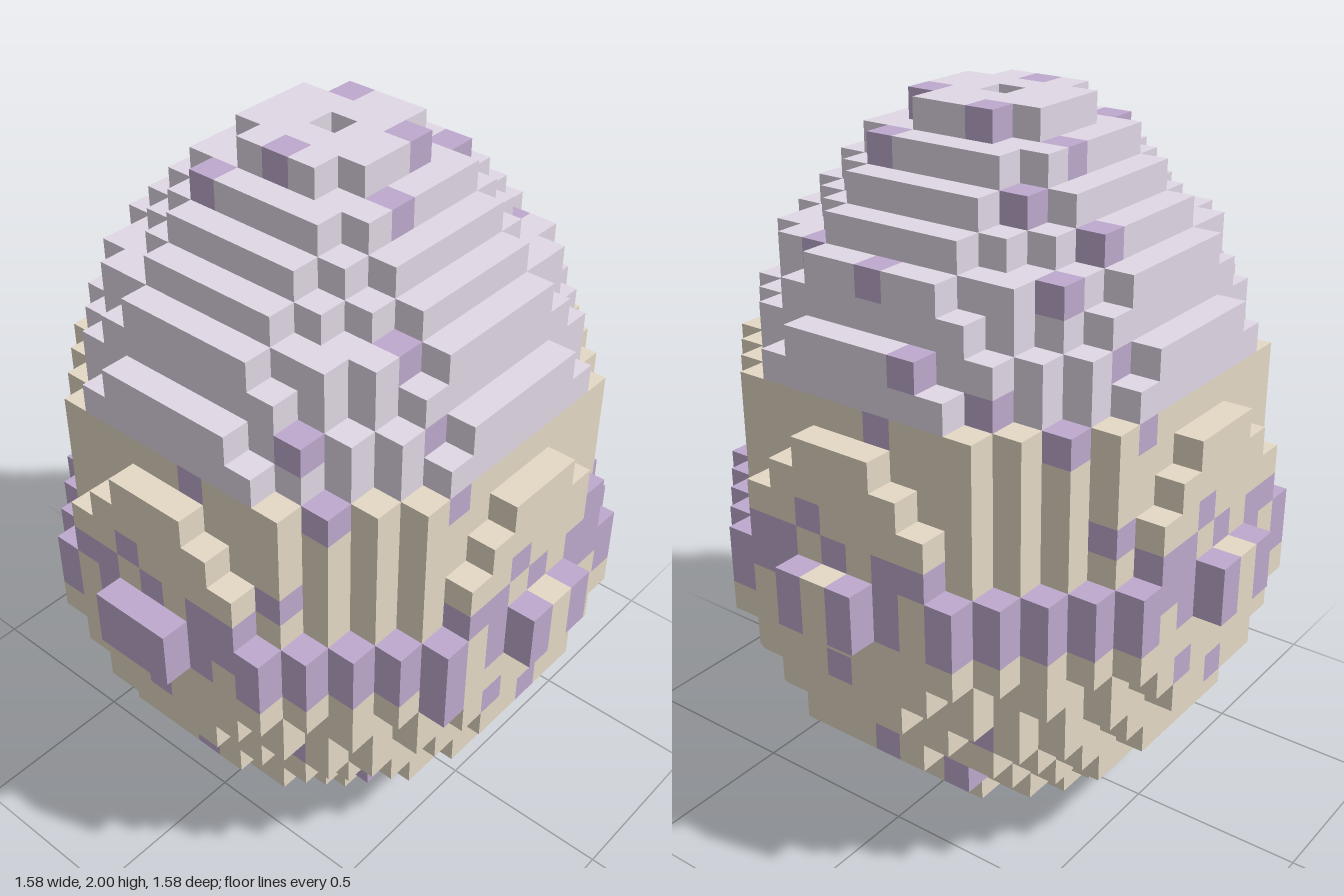
import * as THREE from 'three';
import { mergeGeometries } from 'three/addons/utils/BufferGeometryUtils.js';

const S = 1 / 12; // edge of one cube
const BAND = [9, 10];

// Each layer, bottom to top: [half width, squared radius, largest |x| + |z| if limited]
const LAYERS = [
  [2, 5], [4, 20], [5, 32], [6, 45], [7, 53], [7, 61], [8, 68], [8, 73], [8, 80],
  [9, 83], [9, 83],
  [8, 73, 11], [8, 73, 11], [8, 68], [8, 65], [7, 65], [7, 58], [7, 53], [6, 45], [6, 41],
  [5, 29], [4, 20], [3, 13], [2, 5],
];

// Spots as [across, layer]
const FRONT = [[1, 23], [-1, 22], [3, 22], [-3, 19], [-3, 17], [-3, 15], [-6, 17], [-6, 15],
  [5, 13], [-7, 12], [-1, 12], [3, 12], [8, 11], [-8, 11], [-3, 11], [-2, 11], [0, 11], [2, 11],
  [3, 11], [-4, 8], [-2, 7], [6, 7], [0, 6], [4, 6], [5, 4], [-4, 3], [3, 3], [-2, 2], [-3, 1]];
const SIDE = [[2, 23], [-3, 21], [3, 19], [0, 19], [-5, 19], [-2, 17], [-4, 16], [-1, 15], [-6, 15],
  [6, 13], [-7, 12], [1, 12], [8, 11], [-8, 11], [-3, 11], [-2, 11], [0, 11], [2, 11], [3, 11],
  [6, 7], [0, 7], [7, 6], [-4, 5], [5, 4], [-1, 4], [6, 3], [-3, 3]];
// Spots on the steps of the dome as [x, z]
const TOP = [[1, -3], [3, -3], [-3, -2], [2, -1], [-2, 0], [6, 0], [2, -5], [4, -5], [7, -2],
  [1, 2], [3, 2], [-1, 3], [5, 3], [-3, 5], [-6, 4]];

function solid(x, y, z) {
  if (y < 0 || y >= LAYERS.length) return false;
  const ax = Math.abs(x), az = Math.abs(z);
  if (ax === 0 && az === 0) return false; // shaft through the middle
  const [half, radius2, sum = 18] = LAYERS[y];
  return ax <= half && az <= half && ax + az <= sum && ax * ax + az * az <= radius2;
}

// Collect the outermost cube behind every spot
function findSpots() {
  const spots = new Set();
  const outermost = (at) => {
    for (let d = 9; d > 0; d--) {
      if (solid(...at(d))) return at(d);
    }
    return at(0);
  };
  const mark = (at) => spots.add(outermost(at).join());
  // The far sides repeat the spots, except on cubes shared with the near sides or the dome steps
  const markFar = (at) => {
    const [x, y, z] = outermost(at);
    if (solid(x + 1, y, z) && solid(x, y, z + 1) && solid(x, y + 1, z)) spots.add([x, y, z].join());
  };
  for (const [a, y] of FRONT) {
    mark((d) => [a, y, d]);
    markFar((d) => [-a, y, -d]);
  }
  for (const [a, y] of SIDE) {
    mark((d) => [d, y, a]);
    markFar((d) => [-d, y, -a]);
  }
  for (const [x, z] of TOP) {
    for (let y = 23; y > 11; y--) {
      if (solid(x, y, z)) { spots.add([x, y, z].join()); break; }
    }
  }
  return spots;
}

// Gaps in the belt on the four broad faces
function beltGap(x, y, z) {
  if (x === -9) return false;
  const across = Math.abs(z) >= 8 ? x : Math.abs(x) >= 8 ? z : 1;
  if (across === 3) return y === 9;
  return across === 0 || across === -3;
}

export function createModel() {
  const group = new THREE.Group();
  group.name = 'egg';

  const materials = {};
  for (const [name, color] of [['tan', 0xe4d9c5], ['lavender', 0xe1d8e6], ['purple', 0xbea9cd]]) {
    materials[name] = new THREE.MeshStandardMaterial({ color });
    materials[name].name = name;
  }

  const spots = findSpots();
  const colourOf = (x, y, z) => {
    if (BAND.includes(y)) return beltGap(x, y, z) ? 'tan' : 'purple';
    if (spots.has([x, y, z].join())) return 'purple';
    return y >= 16 ? 'lavender' : 'tan';
  };

  // One square face for each direction, pushed out to the side of its cube
  const half = S / 2;
  const plane = () => new THREE.PlaneGeometry(S, S);
  const faces = [
    [[0, 0, 1], plane()],
    [[0, 0, -1], plane().rotateY(Math.PI)],
    [[1, 0, 0], plane().rotateY(Math.PI / 2)],
    [[-1, 0, 0], plane().rotateY(-Math.PI / 2)],
    [[0, 1, 0], plane().rotateX(-Math.PI / 2)],
    [[0, -1, 0], plane().rotateX(Math.PI / 2)],
  ];
  for (const [d, g] of faces) g.translate(d[0] * half, d[1] * half, d[2] * half);

  // Keep only the exposed faces, sorted by colour
  const parts = { tan: [], lavender: [], purple: [] };
  for (let y = 0; y < LAYERS.length; y++) {
    for (let x = -9; x <= 9; x++) {
      for (let z = -9; z <= 9; z++) {
        if (!solid(x, y, z)) continue;
        const list = parts[colourOf(x, y, z)];
        for (const [d, g] of faces) {
          if (solid(x + d[0], y + d[1], z + d[2])) continue;
          list.push(g.clone().translate(x * S, (y + 0.5) * S, z * S));
        }
      }
    }
  }

  const names = { tan: 'lowerShell', lavender: 'upperShell', purple: 'beltAndSpots' };
  for (const key of Object.keys(parts)) {
    const mesh = new THREE.Mesh(mergeGeometries(parts[key]), materials[key]);
    mesh.name = names[key];
    group.add(mesh);
  }
  return group;
}
